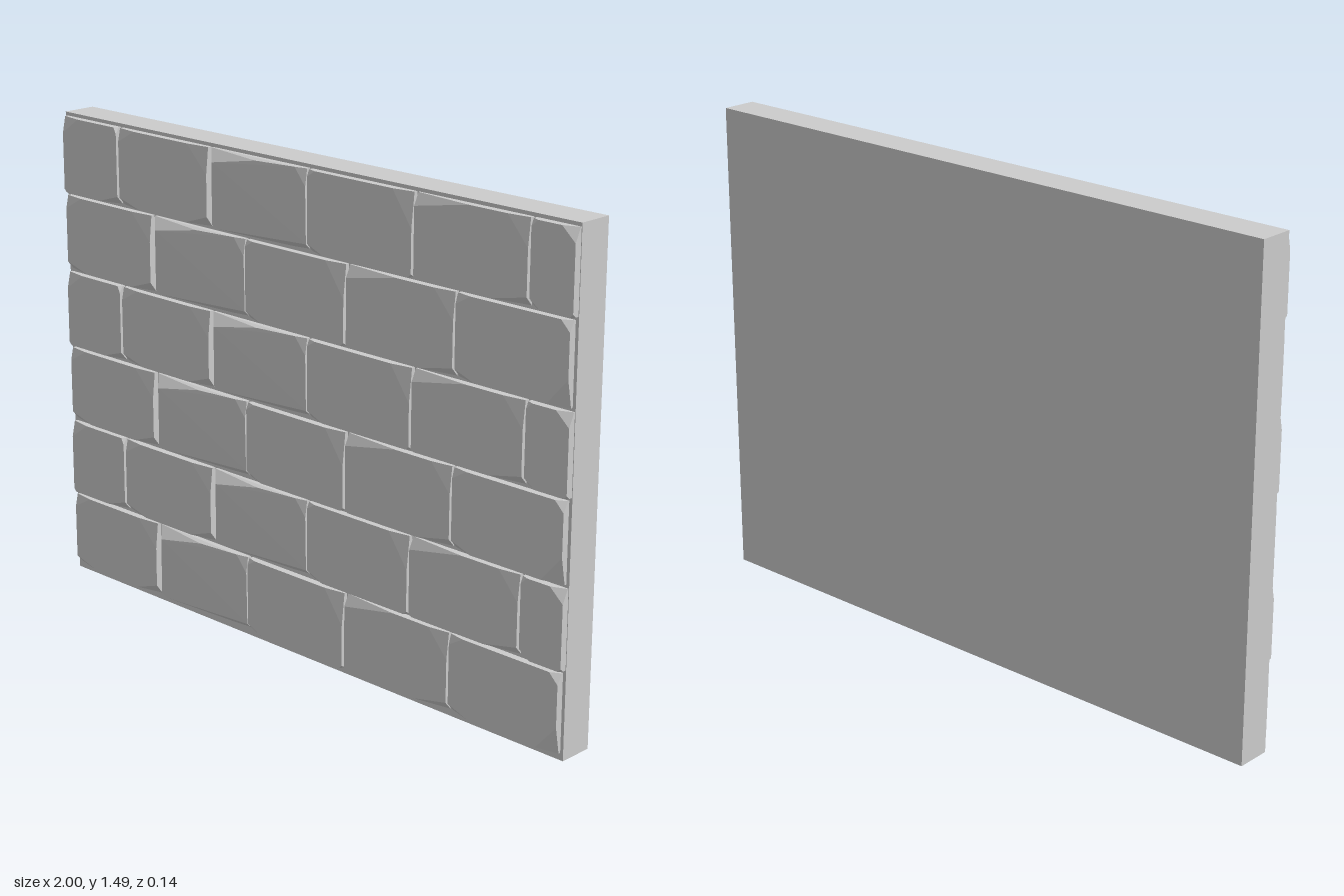
import * as THREE from 'three';
import { ConvexGeometry } from 'three/addons/geometries/ConvexGeometry.js';

const BACK = 0.03, FACE = 0.057, H = 0.235;
const material = new THREE.MeshStandardMaterial({ color: 0xcccccc, flatShading: true });

// Corner chips per stone: [run along x, run along y, depth left at the corner],
// ordered bottom-left, bottom-right, top-right, top-left.
const chipped = {
  plain: [[0.09, 0.025, 0.035], [0.09, 0.03, 0.035], [0.08, 0.08, 0.048], [0.07, 0.04, 0.048]],
  smooth: [[0.06, 0.025, 0.035], [0.01, 0.01, 0.04], [0.07, 0.1, 0.046], [0.03, 0.02, 0.048]],
  sloped: [[0.01, 0.01, 0.04], [0.12, 0.025, 0.035], [0.07, 0.08, 0.048], [0.19, 0.035, 0.04]],
  end: [[0.07, 0.025, 0.035], [0.07, 0.08, 0.042], [0.03, 0.03, 0.04], [0.05, 0.03, 0.048]],
  startHalf: [[0.01, 0.01, 0.04], [0.08, 0.025, 0.035], [0.01, 0.02, 0.045], [0.07, 0.05, 0.046]],
  endHalf: [[0.035, 0.025, 0.035], [0.01, 0.01, 0.045], [0.045, 0.04, 0.038], [0.02, 0.02, 0.048]],
};

function chippedPoints(w, chips) {
  const points = [];
  chips.forEach(([du, dv, z], i) => {
    const right = i === 1 || i === 2, top = i > 1;
    const x = right ? w : 0, y = top ? H : 0;
    const sx = right ? -1 : 1, sy = top ? -1 : 1;
    points.push([x, y, BACK], [x, y, z], [x + sx * du, y, FACE], [x, y + sy * dv, FACE]);
  });
  return points;
}

// Stone whose upper left corner stands proud of the wall
function proudPoints(w) {
  return [
    [0, 0, BACK], [w, 0, BACK], [w, H, BACK], [0, H, BACK],
    [0, H, 0.042], [0.015, 0.012, 0.058], [0.03, 0.2, 0.071],
    [0.2, H - 0.005, 0.062], [w - 0.04, H, 0.056], [w, H - 0.05, 0.055],
    [w, 0.02, 0.052], [w, H, 0.047], [0.04, 0.003, 0.057],
  ];
}

function makeStone(x0, x1, y, type) {
  const w = x1 - x0;
  const points = type === 'proud' ? proudPoints(w) : chippedPoints(w, chipped[type]);
  const geometry = new ConvexGeometry(points.map(p => new THREE.Vector3(...p)));
  const stone = new THREE.Mesh(geometry, material);
  stone.position.set(x0, y, 0);
  stone.name = 'stone';
  return stone;
}

// Two alternating courses: [left, right, type]
const courses = [
  [[-0.985, -0.603, 'plain'], [-0.593, -0.203, 'proud'], [-0.195, 0.195, 'smooth'],
    [0.205, 0.597, 'sloped'], [0.605, 0.99, 'end']],
  [[-0.99, -0.745, 'startHalf'], [-0.735, -0.353, 'plain'], [-0.345, 0.045, 'proud'],
    [0.054, 0.444, 'smooth'], [0.453, 0.845, 'sloped'], [0.854, 0.998, 'endHalf']],
];

export function createModel() {
  const wall = new THREE.Group();
  wall.name = 'stoneWall';

  // Backing slab
  const slab = new THREE.Mesh(new THREE.BoxGeometry(2, 1.49, 0.107), material);
  slab.position.set(0, 0.745, -0.0185);
  slab.name = 'slab';
  wall.add(slab);

  // Six courses of stones in running bond
  for (let row = 0; row < 6; row++) {
    const course = new THREE.Group();
    course.name = 'course';
    for (const [x0, x1, type] of courses[row % 2]) {
      course.add(makeStone(x0, x1, 0.022 + row * 0.2445, type));
    }
    wall.add(course);
  }
  return wall;
}
